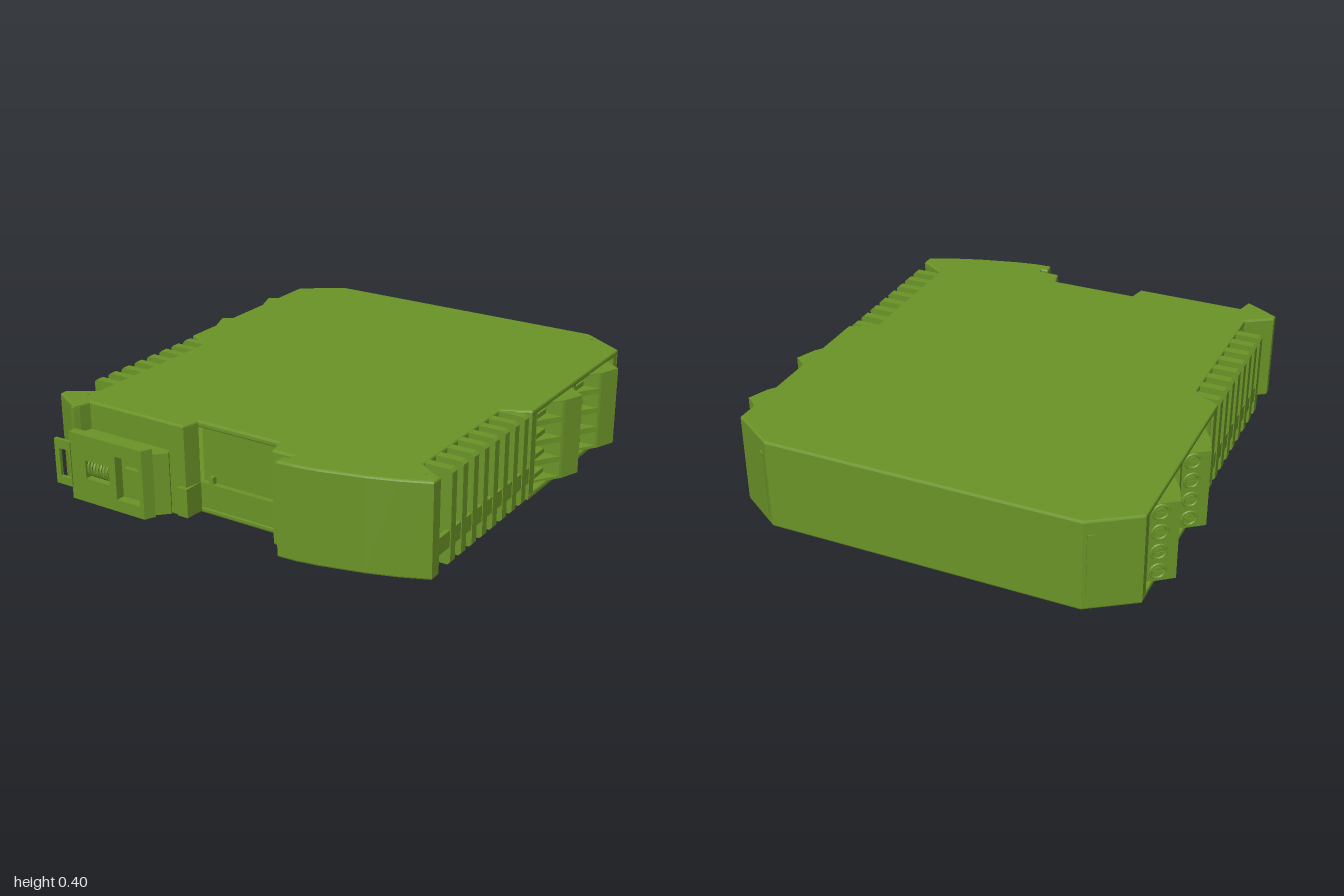
import * as THREE from 'three';

const mat = new THREE.MeshStandardMaterial({ color: 0x6b9428, flatShading: true, side: THREE.DoubleSide });
const H = 0.4;

function add(parent, name, geo) {
  const m = new THREE.Mesh(geo, mat);
  m.name = name;
  parent.add(m);
  return m;
}

function box(parent, name, x0, x1, y0, y1, z0, z1) {
  const m = add(parent, name, new THREE.BoxGeometry(x1 - x0, y1 - y0, z1 - z0));
  m.position.set((x0 + x1) / 2, (y0 + y1) / 2, (z0 + z1) / 2);
  return m;
}

const planShape = (pts) => new THREE.Shape(pts.map(([x, z]) => new THREE.Vector2(x, -z)));

// Upright prism over a plan outline of [x, z] points
function prism(parent, name, pts, y0, y1) {
  const geo = new THREE.ExtrudeGeometry(planShape(pts), { depth: y1 - y0, bevelEnabled: false });
  geo.rotateX(-Math.PI / 2).translate(0, y0, 0);
  return add(parent, name, geo);
}

// Thin walls that follow a path, thickness to the inner side
function walls(parent, name, pts, y0 = 0.01, y1 = H - 0.01, t = 0.025) {
  for (let i = 0; i < pts.length - 1; i++) {
    const [ax, az] = pts[i], [bx, bz] = pts[i + 1];
    const dx = bx - ax, dz = bz - az, len = Math.hypot(dx, dz);
    const m = add(parent, name, new THREE.BoxGeometry(len, y1 - y0, t));
    m.position.set((ax + bx) / 2 - dz / len * t / 2, (y0 + y1) / 2, (az + bz) / 2 + dx / len * t / 2);
    m.rotation.y = -Math.atan2(dz, dx);
  }
}

function rect(P, x0, x1, y0, y1) {
  return new P([[x0, y0], [x1, y0], [x1, y1], [x0, y1]].map(([x, y]) => new THREE.Vector2(x, y)));
}

// Pluggable terminal block on the +x side; p is the z of its outer ridge
function terminal(parent, p) {
  const g = new THREE.Group();
  g.name = 'terminalBlock';
  g.position.z = p;
  parent.add(g);
  const nose = [[0.905, 0.09], [0.94, 0], [0.82, -0.09], [0.78, -0.09]];
  const full = [[0.78, 0.26], [0.82, 0.22], [0.865, 0.145], ...nose];
  const open = [[0.78, 0.26], [0.82, 0.22], [0.832, 0.2], [0.79, 0.2], [0.79, 0.1], [0.898, 0.1], ...nose];
  const pitch = 0.09, half = 0.033;
  let last = 0.025;
  for (let i = 0; i < 4; i++) {
    const y = 0.07 + i * pitch;
    prism(g, 'terminalDivider', full, last, y - half);
    prism(g, 'terminalCell', open, y - half, y + half);
    last = y + half;
    // clamp plate set back in the wire opening
    box(g, 'wireClamp', 0.79, 0.825, y - half, y - 0.012, 0.1, 0.2);
    // screw on the sloping rear face
    const s = new THREE.Group();
    s.name = 'terminalScrew';
    s.position.set(0.88, y, -0.045);
    s.rotation.y = Math.atan2(0.6, -0.8);
    add(s, 'screwRim', new THREE.TorusGeometry(0.031, 0.006, 6, 20));
    const head = add(s, 'screwHead', new THREE.CylinderGeometry(0.021, 0.021, 0.01, 16));
    head.rotation.x = Math.PI / 2;
    box(s, 'screwSlot', -0.018, 0.018, -0.003, 0.003, 0.004, 0.008);
    g.add(s);
  }
  prism(g, 'terminalDivider', full, last, 0.378);
}

// Everything the two long sides share, made for +x
function side() {
  const g = new THREE.Group();
  g.name = 'sideAssembly';
  box(g, 'terminalBackWall', 0.755, 0.78, 0.01, 0.39, -0.86, 0.04);
  box(g, 'rearPillar', 0.78, 0.864, 0.01, 0.39, -0.865, -0.83);
  box(g, 'middlePillar', 0.78, 0.855, 0.01, 0.39, -0.445, -0.425);
  box(g, 'frontPillar', 0.78, 0.864, 0.01, 0.39, -0.045, -0.004);
  walls(g, 'ventEndWall', [[0.865, 0], [0.75, 0.06]]);
  terminal(g, -0.7);
  terminal(g, -0.32);
  // cooling fins and the strip that ties them together
  for (let i = 0; i < 8; i++) {
    const z = 0.0525 + i * 0.085;
    const fin = new THREE.Shape([[0.745, 0.004], [0.855, 0.004], [0.867, 0.016], [0.867, 0.384], [0.855, 0.396],
      [0.745, 0.396], [0.745, 0.37], [0.8, 0.34], [0.8, 0.06], [0.745, 0.03]].map(([x, y]) => new THREE.Vector2(x, y)));
    const geo = new THREE.ExtrudeGeometry(fin, { depth: 0.037, bevelEnabled: false });
    add(g, 'ventFin', geo.translate(0, 0, z - 0.0185));
  }
  box(g, 'ventStrip', 0.845, 0.863, 0.08, 0.15, 0, 0.67);
  // latch on the rear chamfer
  const latch = box(g, 'rearLatch', -0.014, 0.014, 0.06, 0.34, -0.006, 0.006);
  latch.position.set(0.695, 0.2, -0.983);
  latch.rotation.y = -Math.atan2(0.13, 0.195);
  return g;
}

// Spring-loaded rail foot on the front
function railFoot() {
  const g = new THREE.Group();
  g.name = 'railFoot';
  prism(g, 'footBase', [[-0.72, 0.87], [-0.3, 0.87], [-0.275, 0.905], [-0.325, 0.955], [-0.72, 0.955]], 0.015, 0.28);
  const plate = rect(THREE.Shape, -0.72, -0.34, 0.008, 0.305);
  plate.holes.push(rect(THREE.Path, -0.48, -0.36, 0.06, 0.25), rect(THREE.Path, -0.64, -0.515, 0.115, 0.195));
  add(g, 'footPlate', new THREE.ExtrudeGeometry(plate, { depth: 0.04, bevelEnabled: false }).translate(0, 0, 0.955));
  prism(g, 'footRamp', [[-0.34, 0.95], [-0.32, 0.95], [-0.34, 0.995]], 0.008, 0.305);
  const loop = rect(THREE.Shape, -0.8, -0.715, 0.06, 0.26);
  loop.holes.push(rect(THREE.Path, -0.775, -0.725, 0.095, 0.22));
  add(g, 'footLoop', new THREE.ExtrudeGeometry(loop, { depth: 0.015, bevelEnabled: false }).translate(0, 0, 0.985));
  box(g, 'footWindowBar', -0.45, -0.36, 0.08, 0.2, 0.95, 0.975);
  const pts = [];
  for (let i = 0; i <= 84; i++) {
    const a = i / 12 * Math.PI * 2;
    pts.push(new THREE.Vector3(-0.635 + 0.115 * i / 84, 0.155 + 0.032 * Math.cos(a), 0.966 + 0.022 * Math.sin(a)));
  }
  add(g, 'footSpring', new THREE.TubeGeometry(new THREE.CatmullRomCurve3(pts), 168, 0.005, 6));
  return g;
}

export function createModel() {
  const root = new THREE.Group();
  root.name = 'railModuleHousing';

  // Plan outline, clockwise from the rear, split at the vents
  const back = [[-0.865, -0.87], [-0.67, -1], [0.67, -1], [0.865, -0.87]];
  const rightNotch = [[0.865, 0], [0.75, 0.06]];
  const front = [[0.75, 0.68], [0.865, 0.75], [0.865, 0.8], [0.75, 0.85], [0.63, 0.89], [0.45, 0.935], [0.36, 0.95],
    [0.28, 0.955], [0.275, 0.905], [0.305, 0.9], [0.305, 0.88], [0.21, 0.88], [0.19, 0.805], [-0.2, 0.805], [-0.215, 0.88],
    [-0.7, 0.88], [-0.72, 0.955], [-0.8, 0.91], [-0.87, 0.87], [-0.87, 0.84], [-0.755, 0.765]];
  const outline = [...back, ...rightNotch, ...front, [-0.75, 0.06], [-0.865, 0]];
  const pins = [[-0.73, -0.915], [0.72, -0.915], [-0.83, -0.035], [0.82, -0.035],
    [-0.75, 0.835], [-0.37, 0.835], [0.44, 0.89], [0.82, 0.775]];

  // Broad cover plates with pin holes
  const shape = planShape(outline);
  for (const [x, z] of pins) shape.holes.push(new THREE.Path().absarc(x, -z, 0.026, 0, Math.PI * 2, true));
  const plate = new THREE.ExtrudeGeometry(shape, { depth: 0.012, bevelThickness: 0.008, bevelSize: 0.008,
    bevelOffset: -0.008, bevelSegments: 2, curveSegments: 10 }).rotateX(-Math.PI / 2);
  add(root, 'bottomCover', plate).position.y = 0.008;
  add(root, 'topCover', plate).position.y = H - 0.02;
  for (const [x, z] of pins) {
    const pin = add(root, 'coverPin', new THREE.CylinderGeometry(0.026, 0.026, H - 0.006, 20));
    pin.position.set(x, H / 2, z);
  }

  // Outer walls
  walls(root, 'rearWall', back);
  walls(root, 'frontWall', front.slice(0, 13));
  walls(root, 'frontWall', front.slice(13));
  // rail recess: upper wall set back above a flush lower sill
  box(root, 'recessWall', -0.2, 0.19, 0.13, 0.39, 0.755, 0.78);
  box(root, 'recessSill', -0.2, 0.19, 0.01, 0.135, 0.755, 0.803);
  box(root, 'recessSill', -0.25, -0.2, 0.01, 0.135, 0.8, 0.895);
  box(root, 'recessStop', -0.16, -0.14, 0.135, 0.165, 0.77, 0.8);
  box(root, 'railHook', 0.275, 0.32, 0.13, 0.36, 0.88, 0.905);

  // Both long sides
  const plus = side();
  const minus = side();
  minus.scale.x = -1;
  root.add(plus, minus);
  box(root, 'ventStrip', 0.845, 0.863, 0.08, 0.15, 0.67, 0.76);
  walls(root, 'ventStrip', [[-0.8, 0.79], [-0.83, 0.76], [-0.855, 0.71], [-0.865, 0.66]], 0.08, 0.15, 0.018);

  root.add(railFoot());
  return root;
}
